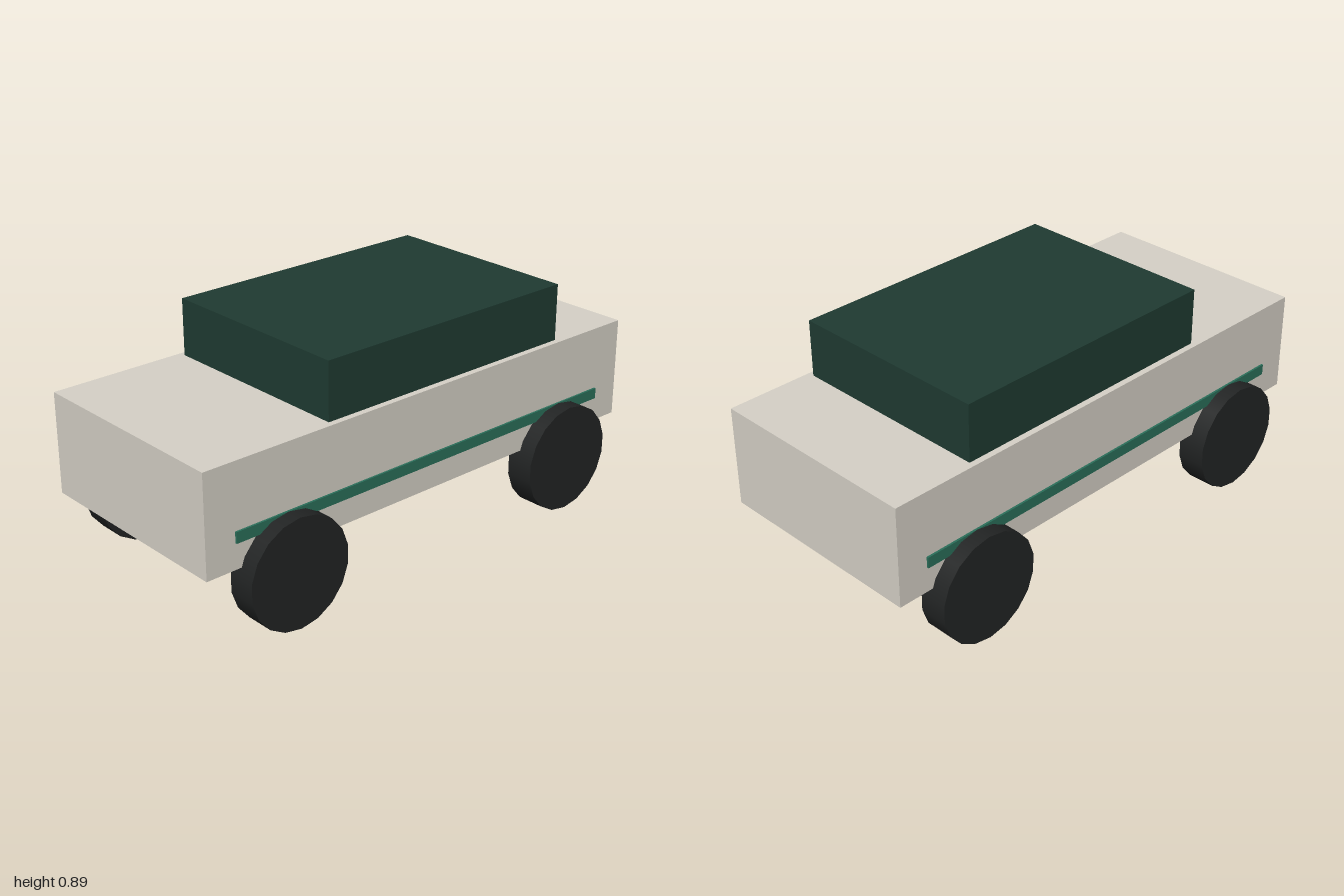
import * as THREE from 'three';

const paint = (color) => new THREE.MeshStandardMaterial({ color });

export function createModel() {
  const model = new THREE.Group();
  const cream = paint(0xd6d1c7);
  const darkGreen = paint(0x1f3b32);
  const green = paint(0x2a6f5a);
  const rubber = paint(0x222424);

  // Box from its lower and upper corners
  const addBox = (name, [x0, y0, z0], [x1, y1, z1], material) => {
    const mesh = new THREE.Mesh(new THREE.BoxGeometry(x1 - x0, y1 - y0, z1 - z0), material);
    mesh.position.set((x0 + x1) / 2, (y0 + y1) / 2, (z0 + z1) / 2);
    mesh.name = name;
    model.add(mesh);
  };

  // Body and offset cabin
  addBox('body', [-1, 0.28, -0.424], [1, 0.668, 0.424], cream);
  addBox('cabin', [-0.46, 0.66, -0.4], [0.66, 0.888, 0.4], darkGreen);

  // Thin trim strip along each long side
  addBox('frontTrim', [-0.88, 0.378, 0.416], [0.88, 0.42, 0.432], green);
  addBox('backTrim', [-0.88, 0.378, -0.432], [0.88, 0.42, -0.416], green);

  // Four wheels, axles along z
  const wheelGeometry = new THREE.CylinderGeometry(0.21, 0.21, 0.11, 18).rotateX(Math.PI / 2);
  for (const x of [-0.663, 0.663]) {
    for (const z of [-0.435, 0.435]) {
      const wheel = new THREE.Mesh(wheelGeometry, rubber);
      wheel.position.set(x, 0.21, z);
      wheel.name = `${z > 0 ? 'front' : 'back'}${x > 0 ? 'Left' : 'Right'}Wheel`;
      model.add(wheel);
    }
  }
  return model;
}
